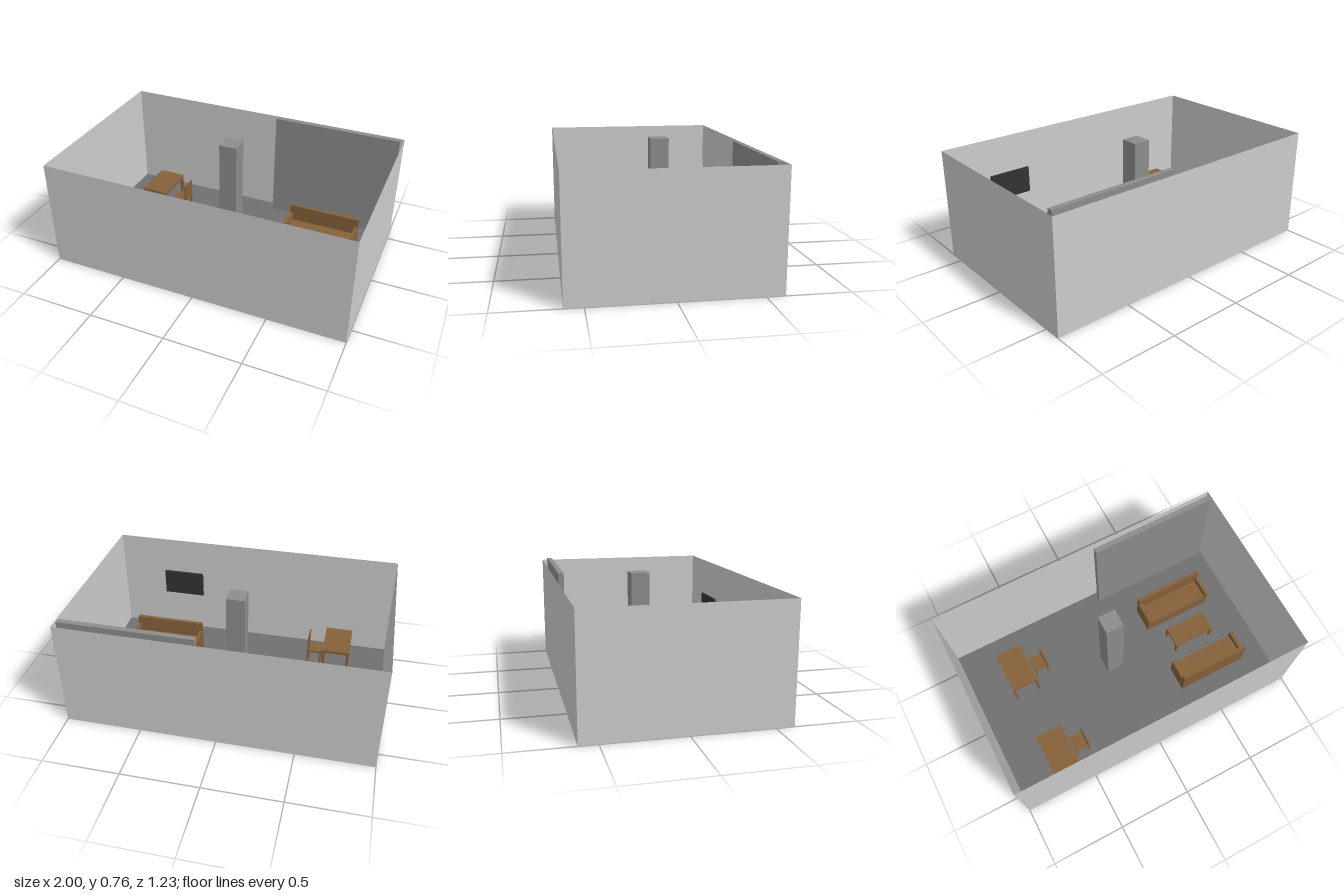
import * as THREE from 'three';

export function createModel() {
  const room = new THREE.Group();
  room.name = 'openRoom';
  const paint = (color, side = THREE.FrontSide) => new THREE.MeshStandardMaterial({ color, side });
  const wallMat = paint(0xcccccc, THREE.DoubleSide);
  const floorMat = paint(0x707070, THREE.DoubleSide);
  const stone = paint(0x8c8c8c);
  const wood = paint(0x85613a);
  const black = paint(0x333333);

  // Box given by its lower and upper limits on each axis
  const box = (parent, name, [x0, x1], [y0, y1], [z0, z1], mat) => {
    const mesh = new THREE.Mesh(new THREE.BoxGeometry(x1 - x0, y1 - y0, z1 - z0), mat);
    mesh.position.set((x0 + x1) / 2, (y0 + y1) / 2, (z0 + z1) / 2);
    mesh.name = name;
    parent.add(mesh);
  };
  const group = (name, x, z, turn = 0) => {
    const g = new THREE.Group();
    g.name = name;
    g.position.set(x, 0, z);
    g.rotation.y = turn;
    room.add(g);
    return g;
  };

  // Thin shell: floor and four walls, open at the top
  const W = 2, D = 1.225, H = 0.735;
  const sheet = (name, w, h, pos, rx, ry, mat) => {
    const mesh = new THREE.Mesh(new THREE.PlaneGeometry(w, h), mat);
    mesh.position.set(...pos);
    mesh.rotation.set(rx, ry, 0);
    mesh.name = name;
    room.add(mesh);
  };
  sheet('floor', W, D, [0, 0, 0], -Math.PI / 2, 0, floorMat);
  sheet('frontWall', W, H, [0, H / 2, D / 2], 0, 0, wallMat);
  sheet('backWall', W, H, [0, H / 2, -D / 2], 0, Math.PI, wallMat);
  sheet('leftWall', D, H, [W / 2, H / 2, 0], 0, Math.PI / 2, wallMat);
  sheet('rightWall', D, H, [-W / 2, H / 2, 0], 0, -Math.PI / 2, wallMat);

  // Fixtures
  box(room, 'column', [-0.08, 0.04], [0, 0.763], [-0.13, -0.01], stone);
  box(room, 'backPanel', [0.12, 0.98], [0, 0.75], [-0.578, -0.543], stone);
  box(room, 'wallScreen', [0.39, 0.68], [0.3, 0.48], [0.592, 0.608], black);

  // Table top on four corner legs, centred in its group
  const table = (g, w, d, h, t, leg) => {
    box(g, 'tableTop', [-w / 2, w / 2], [h - t, h], [-d / 2, d / 2], wood);
    for (const sx of [-1, 1]) for (const sz of [-1, 1]) {
      const x = sx * (w - leg) / 2, z = sz * (d - leg) / 2;
      box(g, 'leg', [x - leg / 2, x + leg / 2], [0, h - t], [z - leg / 2, z + leg / 2], wood);
    }
  };

  // Desks with a chair on the inner side
  for (const z of [-0.275, 0.373]) {
    table(group('desk', -0.657, z), 0.185, 0.285, 0.2, 0.02, 0.018);
    const chair = group('chair', -0.5, z);
    table(chair, 0.1, 0.108, 0.12, 0.015, 0.012);
    box(chair, 'chairBack', [0.04, 0.05], [0.12, 0.23], [-0.054, 0.054], wood);
  }

  // Two sofas facing each other across a low table
  for (const [z, turn] of [[-0.25, 0], [0.263, Math.PI]]) {
    const sofa = group('sofa', 0.575, z, turn);
    box(sofa, 'sofaSeat', [-0.222, 0.222], [0, 0.11], [-0.06, 0.085], wood);
    box(sofa, 'sofaBack', [-0.245, 0.245], [0, 0.225], [-0.085, -0.06], wood);
    for (const s of [-1, 1]) {
      const x = s * 0.2335;
      box(sofa, 'armrest', [x - 0.0115, x + 0.0115], [0, 0.165], [-0.06, 0.085], wood);
    }
  }
  table(group('lowTable', 0.575, 0.003), 0.295, 0.15, 0.11, 0.02, 0.018);

  return room;
}
